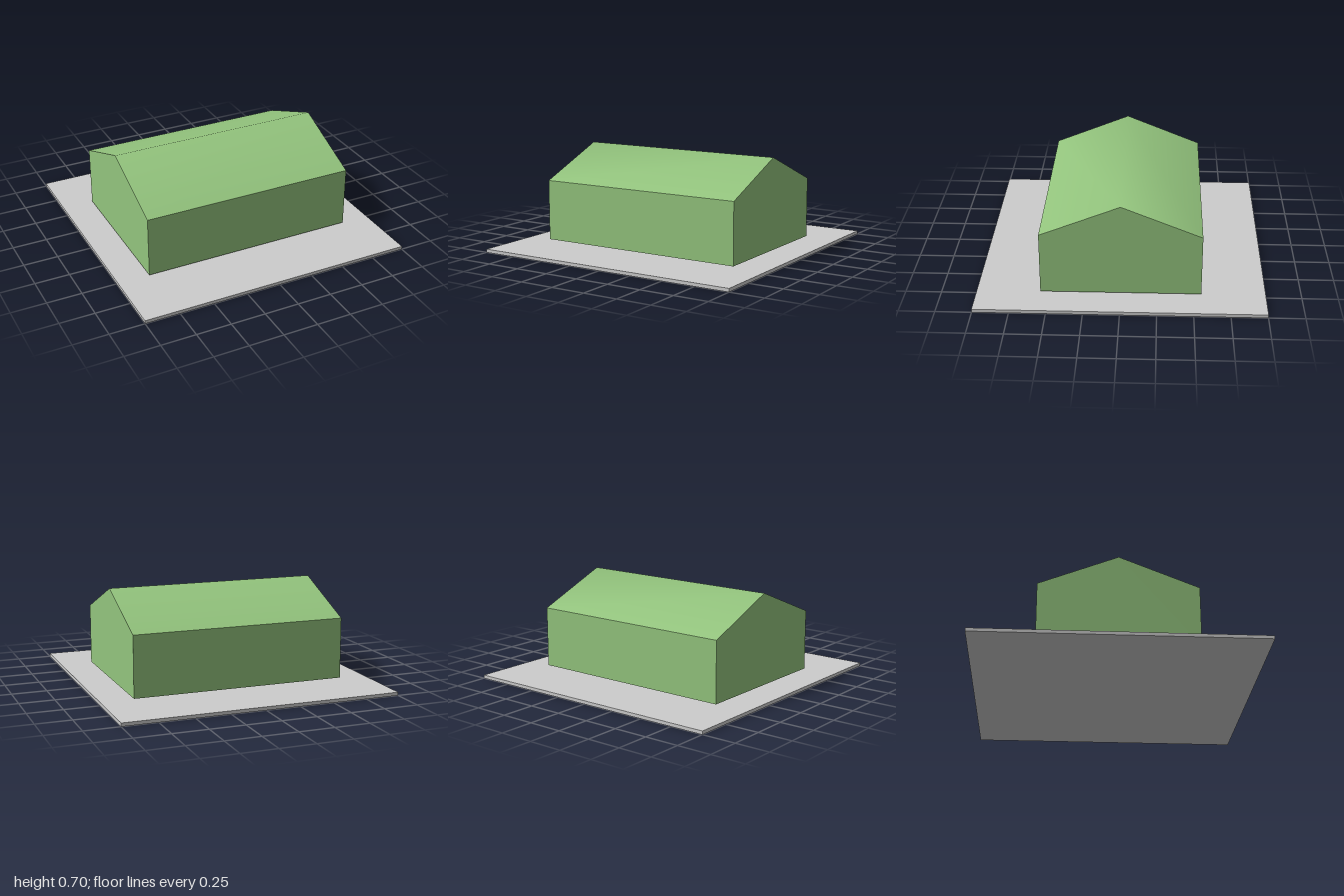
import * as THREE from 'three';
import { toCreasedNormals } from 'three/addons/utils/BufferGeometryUtils.js';

export function createModel() {
  const model = new THREE.Group();
  model.name = 'house';

  const green = new THREE.MeshStandardMaterial({ color: 0x93c47d });
  green.name = 'leaf green';
  const grey = new THREE.MeshStandardMaterial({ color: 0xcccccc });
  grey.name = 'light grey';

  // Thin square ground slab
  const slab = new THREE.Mesh(new THREE.BoxGeometry(2, 0.024, 2), grey);
  slab.name = 'groundSlab';
  slab.position.y = 0.012;
  model.add(slab);

  // Gabled body, hovering slightly above the slab
  const length = 1.556, half = 0.555, base = 0.04, eave = 0.48, ridge = 0.703;
  const gable = new THREE.Shape([
    new THREE.Vector2(-half, base),
    new THREE.Vector2(half, base),
    new THREE.Vector2(half, eave),
    new THREE.Vector2(0, ridge),
    new THREE.Vector2(-half, eave),
  ]);
  const extruded = new THREE.ExtrudeGeometry(gable, { depth: length, bevelEnabled: false });
  extruded.translate(0, 0, -length / 2).rotateY(Math.PI / 2);

  // The ridge is shaded smooth; eaves and corners stay sharp
  const body = new THREE.Mesh(toCreasedNormals(extruded, THREE.MathUtils.degToRad(55)), green);
  body.name = 'gabledBody';
  model.add(body);

  return model;
}
